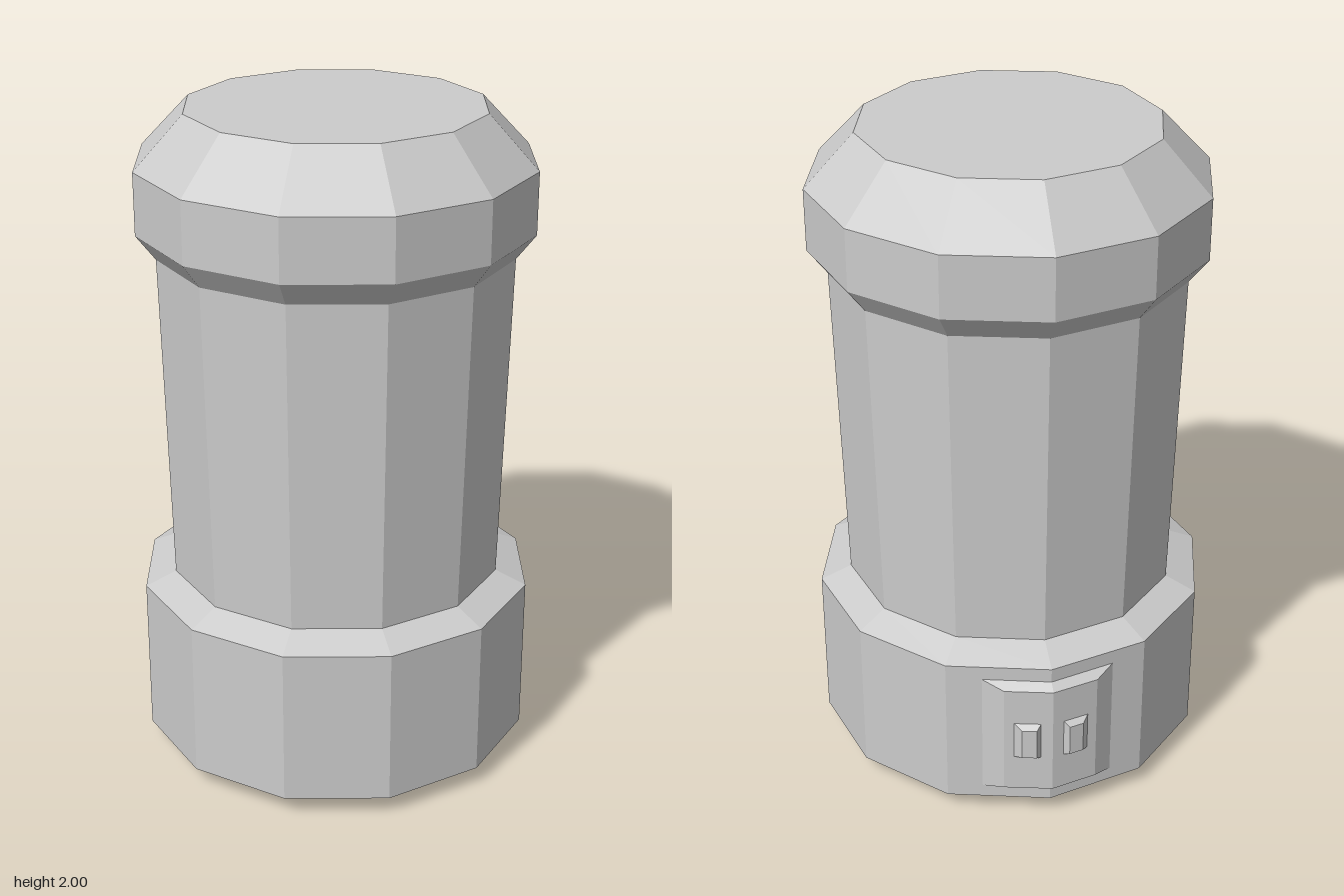
import * as THREE from 'three';
import { ConvexGeometry } from 'three/addons/geometries/ConvexGeometry.js';

export function createModel() {
  const model = new THREE.Group();
  model.name = 'canister';
  const material = new THREE.MeshStandardMaterial({ color: 0xcccccc, flatShading: true });

  const body = new THREE.Group();
  body.name = 'body';
  body.position.z = 0.017;
  model.add(body);

  const add = (name, geometry) => {
    const mesh = new THREE.Mesh(geometry, material);
    mesh.name = name;
    body.add(mesh);
    return mesh;
  };

  // Twelve-sided turned part from [radius, height] pairs, bottom to top
  const turned = (name, profile) =>
    add(name, new THREE.LatheGeometry(profile.map(([r, y]) => new THREE.Vector2(r, y)), 12));

  turned('base', [[0, 0], [0.475, 0], [0.6, 0.06], [0.6, 0.543], [0.506, 0.583]]);
  turned('barrel', [[0.506, 0.583], [0.53, 1.585]]);
  turned('cap', [[0.53, 1.585], [0.587, 1.66], [0.587, 1.845], [0.44, 2], [0, 2]]);

  // Bevelled solid: [x, z] points of the foot and the face, each spanning a height range
  const bevelled = (name, foot, footY, face, faceY) => {
    const points = [];
    for (const [ring, heights] of [[foot, footY], [face, faceY]])
      for (const [x, z] of ring)
        for (const y of heights) points.push(new THREE.Vector3(x, y, z));
    return add(name, new ConvexGeometry(points));
  };

  // Folded panel wrapping the rear edge of the base
  bevelled('rearPanel',
    [[-0.2, -0.545], [0, -0.598], [0.2, -0.545]], [0.1, 0.5],
    [[-0.14, -0.592], [0, -0.628], [0.14, -0.592]], [0.12, 0.48]);

  // One small button on each half of the panel
  for (const side of [-1, 1])
    bevelled(side < 0 ? 'rightButton' : 'leftButton',
      [[side * 0.03, -0.615], [side * 0.117, -0.592]], [0.237, 0.367],
      [[side * 0.05, -0.634], [side * 0.093, -0.623]], [0.25, 0.35]);

  return model;
}
